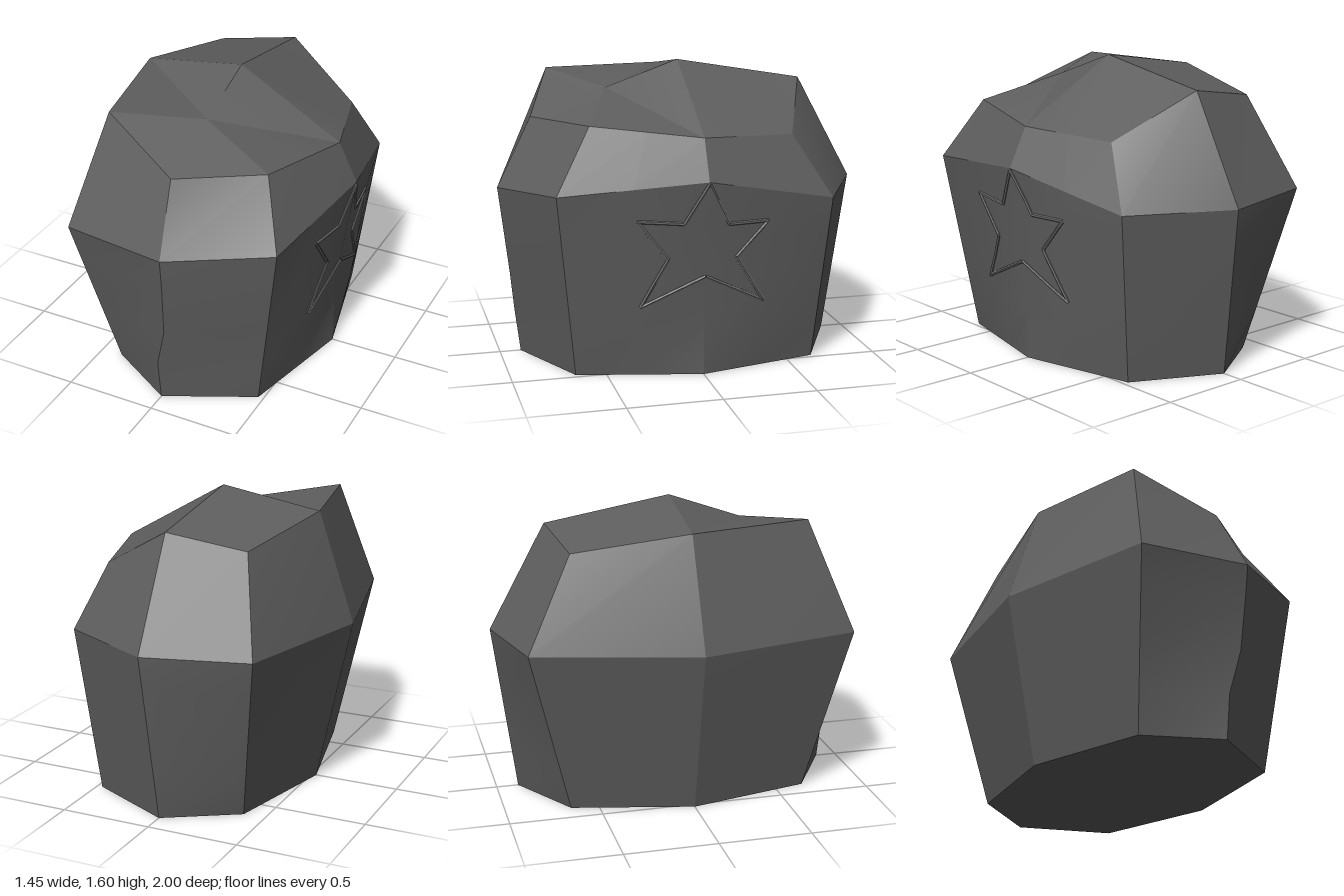
import * as THREE from 'three';
import { toCreasedNormals } from 'three/addons/utils/BufferGeometryUtils.js';

const V = (x, y, z) => new THREE.Vector3(x, y, z);

// Eight corners per ring, plus a midpoint on each half of the carved side
function ring(list) {
  const p = list.map((c) => V(...c));
  const mid = (a, b) => p[a].clone().lerp(p[b], 0.5);
  return [p[0], p[1], mid(1, 2), p[2], mid(2, 3), ...p.slice(3)];
}

// Corners run from the front round the carved +x side, the back and the -x side
const base = ring([[0, 0, 0.885], [0.47, 0, 0.66], [0.62, 0, 0], [0.47, 0, -0.65],
  [0, 0, -0.88], [-0.38, 0, -0.65], [-0.53, 0, 0], [-0.38, 0, 0.66]]);
const belly = ring([[0.08, 0.95, 1], [0.615, 1, 0.77], [0.72, 1.06, 0], [0.575, 0.91, -0.72],
  [0.04, 0.91, -1], [-0.53, 0.92, -0.88], [-0.725, 0.91, 0], [-0.53, 0.92, 0.88]]);
const shoulder = ring([[0.05, 1.32, 0.81], [0.47, 1.33, 0.57], [0.615, 1.27, 0], [0.47, 1.24, -0.52],
  [0.04, 1.48, -0.69], [-0.39, 1.41, -0.63], [-0.53, 1.51, -0.02], [-0.39, 1.52, 0.65]]);

// Rings between base and belly; the carved side is flattened around the star
function between(t, frontX, sideX, flankX) {
  const r = base.map((p, i) => p.clone().lerp(belly[i], t));
  r[0].x = frontX;
  r[3].x = sideX;
  r[2].x = flankX;
  r[4].x = flankX - 0.01;
  return r;
}

function rockGeometry() {
  const pos = [];
  const tri = (...pts) => pts.forEach((p) => pos.push(p.x, p.y, p.z));
  const quad = (a, b, c, d) => { tri(a, b, c); tri(a, c, d); };
  const n = base.length;

  // Side bands
  const rings = [base, between(0.25, 0, 0.622, 0.595), between(0.5, 0.06, 0.642, 0.62),
    between(0.8, 0.075, 0.69, 0.647), belly, shoulder];
  for (let k = 0; k < rings.length - 1; k++) {
    for (let i = 0; i < n; i++) {
      const j = (i + 1) % n;
      quad(rings[k][i], rings[k][j], rings[k + 1][j], rings[k + 1][i]);
    }
  }

  // Underside
  for (let i = 0; i < n; i++) tri(V(0, 0, 0), base[(i + 1) % n], base[i]);

  // Crown: a fan at the back, a ridge and sloping brow at the front
  const apex = V(0.04, 1.6, 0), brow = V(0.04, 1.46, 0.4), s = shoulder;
  const ridgeEnd = s[8].clone().lerp(s[9], 0.5);
  for (let i = 3; i < 8; i++) tri(apex, s[i], s[i + 1]);
  quad(brow, s[2], s[3], apex);
  quad(brow, apex, s[8], ridgeEnd);
  quad(brow, s[0], s[1], s[2]);
  quad(brow, ridgeEnd, s[9], s[0]);

  const g = new THREE.BufferGeometry();
  g.setAttribute('position', new THREE.Float32BufferAttribute(pos, 3));
  return toCreasedNormals(g, 0.3);
}

// Thin raised star outline that hugs the side of the rock
function starOutline(rock) {
  const group = new THREE.Group();
  group.name = 'starOutline';
  const material = new THREE.MeshStandardMaterial({ color: 0x6c6c6c, flatShading: true });
  const corners = [[1.05, 0], [0.825, -0.12], [0.825, -0.34], [0.64, -0.17], [0.38, -0.33],
    [0.545, 0], [0.39, 0.34], [0.65, 0.2], [0.86, 0.365], [0.84, 0.12]];
  const ray = new THREE.Raycaster();
  const onRock = (y, z) => {
    ray.set(V(2, y, z), V(-1, 0, 0));
    return ray.intersectObject(rock)[0].point;
  };
  corners.forEach(([y0, z0], i) => {
    const [y1, z1] = corners[(i + 1) % corners.length];
    const pts = [];
    for (let k = 0; k <= 6; k++) {
      const t = k / 6;
      pts.push(onRock(y0 + (y1 - y0) * t, z0 + (z1 - z0) * t));
    }
    const bar = new THREE.Mesh(
      new THREE.TubeGeometry(new THREE.CatmullRomCurve3(pts), 12, 0.01, 6), material);
    bar.name = 'starEdge';
    group.add(bar);
  });
  return group;
}

export function createModel() {
  const model = new THREE.Group();
  model.name = 'starRock';
  const rock = new THREE.Mesh(rockGeometry(), new THREE.MeshStandardMaterial({ color: 0x5e5e5e }));
  rock.name = 'rock';
  model.add(rock, starOutline(rock));
  return model;
}
